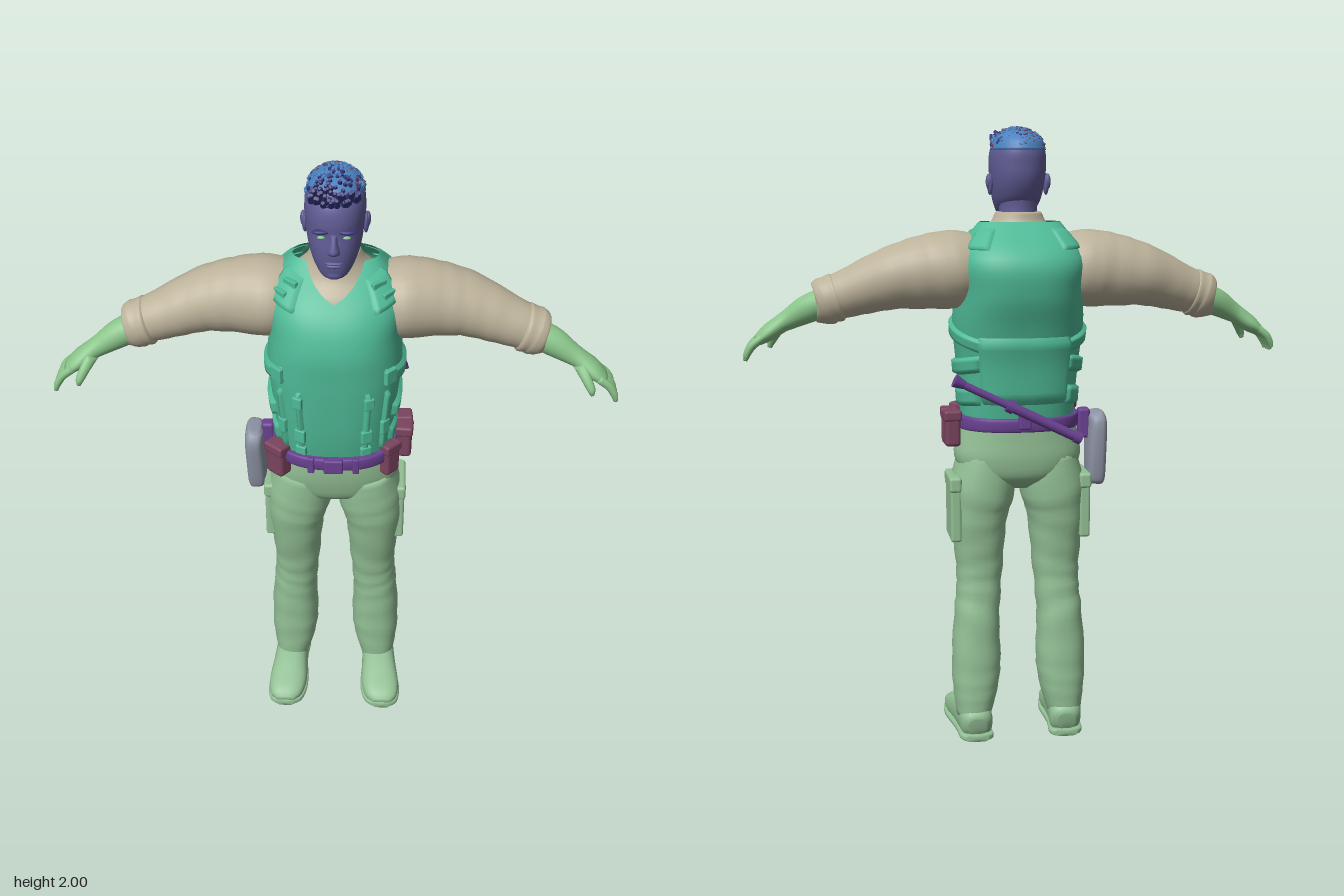
import * as THREE from 'three';
import { mergeGeometries } from 'three/addons/utils/BufferGeometryUtils.js';
import { RoundedBoxGeometry } from 'three/addons/geometries/RoundedBoxGeometry.js';

const mat = (name, color) => Object.assign(new THREE.MeshStandardMaterial({ color }), { name });
const V = (x, y, z) => new THREE.Vector3(x, y, z);
const X = V(1, 0, 0), Z = V(0, 0, 1);
const spow = (v, e) => Math.sign(v) * Math.abs(v) ** e;

// Surface through rows of points; wrap closes each row, cap closes the ends
function skin(rows, wrap, cap) {
  const n = rows[0].length, pos = rows.flat().flatMap(p => [p.x, p.y, p.z]), idx = [];
  for (let r = 0; r < rows.length - 1; r++)
    for (let i = 0; i < (wrap ? n : n - 1); i++) {
      const a = r * n + i, b = r * n + (i + 1) % n;
      idx.push(a, a + n, b, b, a + n, b + n);
    }
  if (cap) [0, rows.length - 1].forEach((r, end) => {
    const c = rows[r].reduce((s, p) => s.add(p), V(0, 0, 0)).divideScalar(n), k = pos.length / 3;
    pos.push(c.x, c.y, c.z);
    for (let i = 0; i < n; i++) {
      const a = r * n + i, b = r * n + (i + 1) % n;
      end ? idx.push(k, b, a) : idx.push(k, a, b);
    }
  });
  const g = new THREE.BufferGeometry();
  g.setAttribute('position', new THREE.Float32BufferAttribute(pos, 3));
  g.setIndex(idx);
  g.computeVertexNormals();
  return g;
}

// Smooth limb through sections [x, y, z, radius, radius along axis]
function limb(sections, { axis = Z, power = 2, steps = 5, sides = 28, fold = 0 } = {}) {
  const path = new THREE.CatmullRomCurve3(sections.map(s => V(s[0], s[1], s[2])), false, 'catmullrom');
  const size = new THREE.CatmullRomCurve3(sections.map(s => V(s[3], s[4], 0)), false, 'catmullrom');
  const rows = [], n = (sections.length - 1) * steps;
  for (let k = 0; k <= n; k++) {
    const c = path.getPoint(k / n), s = size.getPoint(k / n);
    const u = path.getTangent(k / n).cross(axis).normalize(), row = [];
    for (let i = 0; i < sides; i++) {
      const a = i / sides * Math.PI * 2;
      const f = 1 + fold * Math.sin(k * 1.7 + 2 * Math.sin(a + k * 0.3)) * Math.sin(Math.PI * k / n);
      row.push(c.clone().addScaledVector(u, s.x * f * spow(Math.cos(a), 2 / power))
        .addScaledVector(axis, s.y * f * spow(Math.sin(a), 2 / power)));
    }
    rows.push(row);
  }
  return skin(rows, true, true);
}

function mirrored(g) {
  const m = g.clone().scale(-1, 1, 1);
  const src = m.index ? Array.from(m.index.array) : Array.from({ length: m.attributes.position.count }, (_, i) => i);
  for (let i = 0; i < src.length; i += 3) [src[i], src[i + 1]] = [src[i + 1], src[i]];
  m.setIndex(src);
  return m;
}

// Vest outline: half width, front z, back z at equal steps of height
const VEST0 = 1.05, VEST1 = 1.71;
const outline = new THREE.CatmullRomCurve3([
  [.182, .165, -.125], [.188, .185, -.142], [.198, .196, -.155], [.208, .202, -.185],
  [.202, .2, -.22], [.205, .15, -.213], [.125, .02, -.09]].map(p => V(...p)), false, 'catmullrom');
function vestPoint(deg, y, off = 0) {
  const a = deg * Math.PI / 180, o = outline.getPoint((y - VEST0) / (VEST1 - VEST0));
  const mid = (o.y + o.z) / 2, half = (o.y - o.z) / 2;
  return V((o.x + off) * spow(Math.cos(a), .8), y, mid + (half + off) * spow(Math.sin(a), .8));
}
// Padded patch lying on the vest, its border sunk below the surface
function patch(a0, a1, low0, low1, height, off, cols = 16, rows = 6) {
  const grid = [];
  for (let r = 0; r <= rows; r++) {
    const row = [];
    for (let c = 0; c <= cols; c++) {
      const edge = !r || !c || r === rows || c === cols, t = c / cols;
      row.push(vestPoint(a0 + (a1 - a0) * t, low0 + (low1 - low0) * t + height * r / rows, edge ? -.006 : off));
    }
    grid.push(row);
  }
  return skin(grid, false, false);
}

const box = (w, h, d, x, y, z, ry = 0) =>
  new RoundedBoxGeometry(w, h, d, 2, Math.min(w, h, d) * .25).rotateY(ry).translate(x, y, z);
const ball = (x, y, z, a, b, c) => new THREE.SphereGeometry(1, 16, 12).scale(a, b, c).translate(x, y, z);

function rod(a, b, r0, r1) {
  const d = b.clone().sub(a), g = new THREE.CylinderGeometry(r1, r0, d.length(), 16);
  g.applyQuaternion(new THREE.Quaternion().setFromUnitVectors(V(0, 1, 0), d.clone().normalize()));
  return g.translate(...a.clone().add(b).multiplyScalar(.5).toArray());
}

export function createModel() {
  const root = new THREE.Group();
  const M = {
    vest: mat('vest teal', 0x4fba97), cloth: mat('trouser green', 0x93c095), hand: mat('hand green', 0x8ac48a),
    shirt: mat('shirt beige', 0xbcb29a), face: mat('face indigo', 0x615d96), hair: mat('hair navy', 0x37377c),
    blue: mat('hair blue', 0x4b82bf), belt: mat('belt purple', 0x6a4192), pouch: mat('pouch maroon', 0x7a445e),
    holster: mat('holster grey', 0x8e94a5) };
  const add = (name, g, m) => { const o = new THREE.Mesh(g, m); o.name = name; root.add(o); };
  const both = (name, g, m) => { add(name + 'Left', g, m); add(name + 'Right', mirrored(g), m); };

  // Trousers
  add('hips', limb([[0, .85, .01, .06, .07], [0, .89, .012, .17, .12], [0, .95, .015, .207, .138],
    [0, 1.02, .02, .198, .142], [0, 1.1, .02, .18, .14]], { power: 2.4 }), M.cloth);
  both('trouserLeg', limb([[.155, .07, -.015, .056, .085], [.148, .15, -.015, .072, .088], [.143, .25, -.012, .081, .088],
    [.14, .4, -.007, .075, .087], [.132, .5, .002, .073, .083], [.128, .6, .011, .078, .09],
    [.128, .75, .017, .093, .116], [.115, .85, .016, .106, .128], [.1, .96, .02, .09, .125]],
  { power: 2.3, fold: .025 }), M.cloth);
  both('cargoPocket', box(.035, .2, .15, .212, .78, 0), M.cloth);
  both('pocketFlap', box(.04, .05, .16, .213, .87, 0), M.cloth);

  // Boots
  both('boot', limb([[.15, .05, -.103, .03, .03], [.15, .056, -.08, .055, .052], [.155, .065, -.02, .065, .056],
    [.16, .058, .06, .056, .06], [.165, .043, .14, .042, .066], [.17, .032, .195, .03, .056],
    [.172, .024, .222, .014, .03]], { axis: X, power: 2.5 }), M.cloth);
  both('bootSole', limb([[.15, .012, -.106, .012, .036], [.15, .012, -.08, .012, .056], [.157, .012, 0, .012, .056],
    [.165, .012, .13, .012, .07], [.17, .012, .2, .012, .058], [.172, .012, .225, .012, .028]],
  { axis: X, power: 4 }), M.cloth);

  // Shirt and rolled sleeves
  add('shirtBody', limb([[0, 1.45, -.01, .16, .16], [0, 1.6, -.03, .17, .155], [0, 1.66, -.025, .125, .105],
    [0, 1.7, -.015, .09, .08], [0, 1.735, -.012, .072, .073]]), M.shirt);
  both('sleeve', limb([[.1, 1.55, -.03, .1, .1], [.2, 1.557, -.028, .122, .132], [.3, 1.55, -.035, .116, .116],
    [.4, 1.533, -.036, .099, .103], [.5, 1.5, -.02, .082, .084], [.58, 1.472, -.008, .07, .07],
    [.625, 1.458, -.003, .062, .062]], { fold: .012 }), M.shirt);
  both('sleeveCuff', limb([[.565, 1.476, -.008, .066, .066], [.575, 1.473, -.006, .077, .076], [.595, 1.467, -.004, .074, .073],
    [.61, 1.461, -.003, .076, .073], [.632, 1.453, 0, .066, .064], [.637, 1.452, 0, .05, .05]]), M.shirt);

  // Forearms and hands
  both('forearm', limb([[.58, 1.47, -.002, .045, .05], [.66, 1.438, .015, .045, .045], [.72, 1.405, .03, .034, .036],
    [.75, 1.388, .037, .029, .038], [.79, 1.36, .045, .027, .05], [.825, 1.335, .05, .017, .048]]), M.hand);
  const fingers = [0, 1, 2, 3].map(i => {
    const z = .012 + i * .026, l = i === 0 ? .8 : 1;
    return limb([[.805, 1.35, z, .013, .013], [.838, 1.325, z, .013, .013], [.838 + .02 * l, 1.325 - .03 * l, z + .002, .011, .011],
      [.838 + .027 * l, 1.325 - .052 * l, z + .003, .007, .007]], { sides: 12 });
  });
  fingers.push(limb([[.745, 1.385, .06, .02, .02], [.765, 1.355, .09, .016, .016], [.782, 1.325, .107, .013, .013],
    [.788, 1.305, .11, .007, .007]], { sides: 12 }));
  both('fingers', mergeGeometries(fingers), M.hand);

  // Vest shell with a V neck
  const rows = [];
  for (let r = 0; r <= 30; r++) {
    const row = [];
    for (let i = 0; i < 72; i++) {
      const deg = i * 5, c = Math.abs(Math.cos(deg * Math.PI / 180));
      const top = deg > 0 && deg < 180 ? 1.62 + .085 * Math.min(1, c / .6) : 1.705;
      row.push(vestPoint(deg, VEST0 + .02 + (top - VEST0 - .02) * r / 30));
    }
    rows.push(row);
  }
  M.vest.side = THREE.DoubleSide;
  add('vestShell', skin(rows, true, false), M.vest);

  // Vest straps, webbing and pads
  both('sideStrap', patch(48, -65, 1.37, 1.29, .05, .012, 24), M.vest);
  both('lowerSideStrap', patch(28, -55, 1.2, 1.24, .06, .014, 20), M.vest);
  both('waistPad', patch(30, -50, 1.1, 1.13, .07, .011, 20), M.vest);
  add('lumbarPad', patch(-48, -132, 1.13, 1.13, .23, .014, 20, 10), M.vest);
  both('shoulderPad', patch(62, 22, 1.585, 1.605, .085, .012, 12, 8), M.vest);
  both('backShoulderPad', patch(-25, -60, 1.62, 1.62, .07, .008, 12, 8), M.vest);
  both('webbing', patch(68, 60, 1.1, 1.1, .25, .01, 4, 16), M.vest);
  both('outerWebbing', patch(46, 37, 1.1, 1.1, .24, .01, 4, 16), M.vest);
  const buckle = (deg, y, w, h) => {
    const p = vestPoint(deg, y, .008);
    return box(w, h, .016, p.x, y, p.z, (90 - deg) * Math.PI / 180);
  };
  both('buckles', mergeGeometries([buckle(64, 1.31, .032, .04), buckle(64, 1.18, .036, .045), buckle(64, 1.12, .036, .03),
    buckle(42, 1.2, .032, .05), buckle(42, 1.39, .045, .05), buckle(48, 1.655, .05, .025), buckle(40, 1.63, .05, .02)]), M.vest);

  // Belt and its equipment
  add('belt', limb([[0, 1.048, .025, .19, .15], [0, 1.052, .025, .199, .164], [0, 1.088, .025, .199, .166],
    [0, 1.092, .025, .19, .15]], { power: 2.4, sides: 48 }), M.belt);
  add('beltBuckle', box(.06, .05, .02, 0, 1.07, .192), M.belt);
  both('beltLoop', box(.02, .055, .015, .07, 1.07, .188, .15), M.belt);
  [[-.175, .125, .07, .055, -.7], [.172, .11, .06, .05, .8], [.222, .015, .055, .05, 1.5],
    [.22, -.045, .052, .05, 1.65]].forEach(([x, z, w, d, ry], i) => {
    add('pouch' + (i + 1), box(w, .11, d, x, 1.05, z, ry), M.pouch);
    add('pouchFlap' + (i + 1), box(w + .006, .035, d + .008, x, 1.095, z, ry), M.pouch);
  });
  add('holster', limb([[-.256, .85, -.005, .022, .035], [-.258, .87, -.003, .03, .048], [-.259, .95, 0, .032, .06],
    [-.262, 1.04, .005, .031, .066], [-.26, 1.075, .005, .028, .055], [-.258, 1.088, .005, .018, .035]], { power: 3.2 }), M.holster);
  add('holsterHanger', box(.04, .1, .04, -.218, 1.05, 0), M.belt);

  // Baton slung across the back
  const b0 = V(-.17, 1.03, -.155), b1 = V(.225, 1.225, -.165), at = t => b0.clone().lerp(b1, t);
  add('baton', mergeGeometries([rod(b0, at(.55), .016, .016), rod(at(.55), at(.92), .012, .012),
    rod(at(.92), b1, .013, .021), rod(at(.53), at(.58), .021, .021), rod(at(-.02), at(.03), .019, .019)]), M.belt);
  add('batonHolder', box(.04, .06, .03, 0, 1.09, -.145), M.belt);

  // Neck and head
  add('neck', limb([[0, 1.67, -.015, .062, .066], [0, 1.74, -.008, .06, .066], [0, 1.8, -.01, .062, .07]]), M.face);
  add('head', limb([[0, 1.693, .085, .02, .022], [0, 1.705, .077, .04, .045], [0, 1.73, .055, .058, .074],
    [0, 1.765, .032, .073, .102], [0, 1.8, .02, .081, .115], [0, 1.84, .011, .086, .121], [0, 1.88, .01, .089, .124],
    [0, 1.92, .007, .086, .12], [0, 1.955, .004, .072, .1], [0, 1.978, .002, .045, .06]], { power: 2.2, sides: 36 }), M.face);
  add('nose', limb([[0, 1.79, .132, .017, .016], [0, 1.802, .138, .017, .022], [0, 1.825, .135, .011, .018],
    [0, 1.85, .128, .009, .012]]), M.face);
  add('chin', ball(0, 1.716, .11, .028, .02, .018), M.face);
  add('lips', mergeGeometries([ball(0, 1.758, .131, .026, .005, .008), ball(0, 1.748, .129, .022, .006, .008)]), M.face);
  both('brow', ball(.037, 1.856, .125, .026, .007, .012), M.hair);
  both('eye', ball(.036, 1.838, .125, .012, .005, .006), M.hand);
  both('ear', mergeGeometries([ball(.089, 1.82, -.008, .009, .034, .02), ball(.094, 1.828, -.012, .009, .024, .016)]), M.face);

  // Short hair: a cap plus seeded tufts, swept up at the front
  add('hairCap', limb([[0, 1.925, -.004, .087, .118], [0, 1.955, -.002, .077, .105], [0, 1.978, .002, .055, .075],
    [0, 1.988, .005, .025, .035]]), M.blue);
  let seed = 7;
  const rnd = () => (seed = (seed * 16807) % 2147483647) / 2147483647;
  const tufts = { hair: [], blue: [], pouch: [] };
  for (let i = 0; i < 190; i++) {
    const a = rnd() * Math.PI * 2, r = Math.sqrt(rnd()), x = .08 * r * Math.cos(a), z = .004 + .112 * r * Math.sin(a);
    const front = Math.max(0, z / .116), y = 1.918 + .066 * Math.sqrt(1 - r * r * .98);
    const base = V(x, y, z), h = .012 + .022 * front * rnd();
    const dir = V(x * 5, .5 + front * .4, front * .7 + z * 3).normalize();
    const tip = base.clone().addScaledVector(dir, h);
    tip.y = Math.min(tip.y, 2);
    const key = front > .35 ? 'hair' : rnd() < .3 && r > .5 ? 'pouch' : rnd() < .3 ? 'hair' : 'blue';
    tufts[key].push(rod(base.addScaledVector(dir, -.012), tip, .011, .004));
  }
  for (let i = 0; i < 26; i++) {
    const x = -.062 + .124 * i / 25, base = V(x, 1.925 + .025 * rnd(), .105 - x * x * 8);
    tufts.hair.push(rod(base, base.clone().add(V(x * .1, .025 + .015 * rnd(), .03 + .015 * rnd())), .014, .005));
  }
  for (const key in tufts) add(key + 'Tufts', mergeGeometries(tufts[key]), M[key]);
  return root;
}
